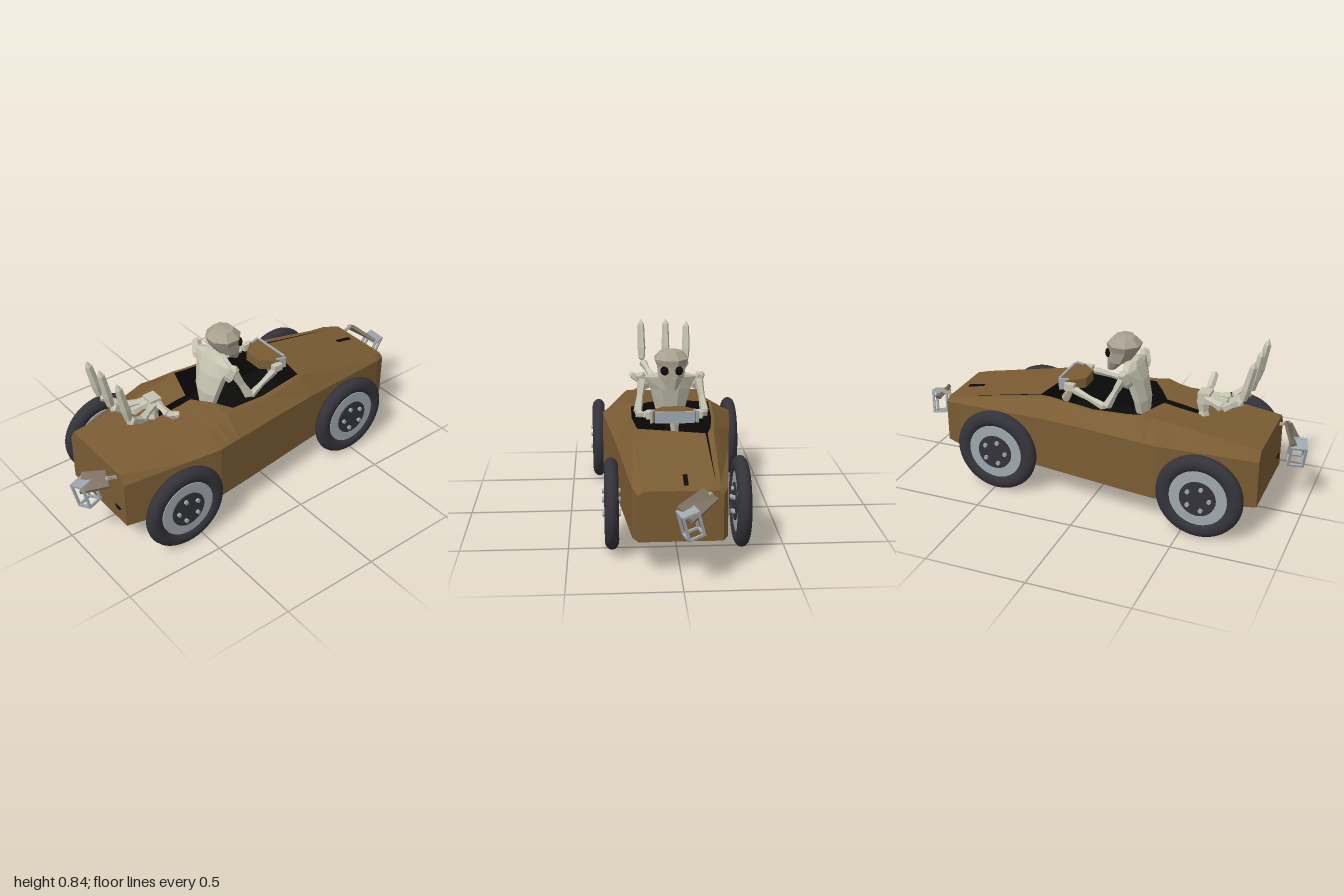
import * as THREE from 'three';

const mat = (name, color, flatShading = true) => {
  const m = new THREE.MeshStandardMaterial({ color, flatShading });
  m.name = name;
  return m;
};
const V = (x, y, z) => new THREE.Vector3(x, y, z);

export function createModel() {
  const wood = mat('coffin wood', 0x7a5c33);
  const dark = mat('dark opening', 0x0c0b0a);
  const bone = mat('bone', 0xc6c5b2);
  const oldBone = mat('aged bone', 0xa8a190);
  const silver = mat('silver metal', 0x9fa8ae);
  const rubber = mat('rubber', 0x33333a, false);
  const taupe = mat('weathered bracket', 0x7c7162);
  const root = new THREE.Group();

  const add = (parent, name, geo, material, x = 0, y = 0, z = 0) => {
    const m = new THREE.Mesh(geo, material);
    m.name = name;
    m.position.set(x, y, z);
    parent.add(m);
    return m;
  };
  const group = (name, parent = root) => {
    const g = new THREE.Group();
    g.name = name;
    parent.add(g);
    return g;
  };
  const fromTris = (pts) => {
    const g = new THREE.BufferGeometry().setFromPoints(pts);
    g.computeVertexNormals();
    return g;
  };
  const box = (w, h, d) => new THREE.BoxGeometry(w, h, d);

  // Coffin body: z, half width, bottom y, shoulder y, half deck, deck y, opening left, opening right
  const sections = [
    [0.83, 0.23, 0.135, 0.375, 0.2, 0.42, -0.015, -0.015],
    [0.52, 0.3, 0.138, 0.405, 0.2, 0.463, -0.015, -0.015],
    [0.5, 0.304, 0.138, 0.406, 0.2, 0.466, -0.035, 0.0],
    [0.36, 0.335, 0.14, 0.42, 0.2, 0.486, -0.035, 0.01],
    [0.3, 0.328, 0.14, 0.42, 0.205, 0.495, -0.03, 0.01],
    [0.24, 0.322, 0.141, 0.42, 0.225, 0.503, -0.21, 0.1],
    [0.18, 0.316, 0.142, 0.42, 0.225, 0.495, -0.21, 0.19],
    [0, 0.295, 0.145, 0.42, 0.22, 0.485, -0.205, 0.19],
    [-0.24, 0.267, 0.148, 0.415, 0.195, 0.5, -0.18, 0.17],
    [-0.3, 0.26, 0.149, 0.412, 0.19, 0.49, -0.16, -0.15],
    [-0.76, 0.21, 0.155, 0.385, 0.175, 0.4, -0.155, -0.155],
    [-0.82, 0.185, 0.157, 0.37, 0.16, 0.388, -0.155, -0.155],
  ];
  const floorY = 0.32;
  const loops = sections.map(([z, w, b, s, d, t, l, r]) => [
    [-w, b], [-w, s], [-d, t], [l, t], [l, floorY], [r, floorY], [r, t], [d, t], [w, s], [w, b],
  ].map(([x, y]) => V(x, y, z)));
  const shell = [], pit = [];
  for (let i = 0; i < loops.length - 1; i++) {
    const A = loops[i], B = loops[i + 1];
    const open = [sections[i], sections[i + 1]].some((s) => s[7] > s[6]);
    for (let j = 0; j < 10; j++) {
      const inside = j >= 3 && j <= 5, k = (j + 1) % 10;
      if (inside && !open) continue;
      (inside ? pit : shell).push(A[j], A[k], B[k], A[j], B[k], B[j]);
    }
  }
  const endCap = (loop, flip) => {
    const p = [0, 1, 2, 7, 8, 9].map((i) => loop[i]);
    for (let i = 1; i < 5; i++) shell.push(p[0], p[flip ? i + 1 : i], p[flip ? i : i + 1]);
  };
  endCap(loops[0], true);
  endCap(loops[loops.length - 1], false);
  add(root, 'coffinBody', fromTris(shell), wood);
  add(root, 'cockpitInterior', fromTris(pit), dark);

  // Small dark slots
  add(root, 'rearSlotUpper', box(0.045, 0.007, 0.006), dark, 0.167, 0.211, 0.831);
  add(root, 'rearSlotLower', box(0.028, 0.006, 0.006), dark, 0.165, 0.202, 0.831);
  add(root, 'hoodSlot', box(0.02, 0.008, 0.09), dark, -0.025, 0.406, -0.73).rotation.x = -0.19;
  add(root, 'undersideSlot', box(0.03, 0.006, 0.07), dark, -0.02, 0.154, -0.73);

  // Wheels, with the axle along x
  const wheel = (side, x, z) => {
    const g = group('wheel');
    g.position.set(side * x, 0.215, z);
    const tire = new THREE.TorusGeometry(0.172, 0.04, 14, 48).rotateY(Math.PI / 2).scale(0.83, 1, 1);
    add(g, 'tire', tire, rubber);
    const disc = (name, r, w, m) => add(g, name, new THREE.CylinderGeometry(r, r, w, 32).rotateZ(Math.PI / 2), m);
    disc('rim', 0.14, 0.048, silver);
    disc('hub', 0.088, 0.06, rubber);
    for (let i = 0; i < 5; i++) {
      const a = (i / 5) * Math.PI * 2 + 0.3;
      const bolt = new THREE.CylinderGeometry(0.011, 0.011, 0.084, 6).rotateZ(Math.PI / 2);
      add(g, 'bolt', bolt, silver, 0, Math.cos(a) * 0.058, Math.sin(a) * 0.058);
    }
  };
  for (const side of [-1, 1]) {
    wheel(side, 0.358, 0.588);
    wheel(side, 0.298, -0.482);
  }

  // A five-sided bone between two points; a pointed one ends in a tip
  const makeBone = (parent, name, a, b, r, material = bone, pointed = false) => {
    const d = b.clone().sub(a), len = d.length();
    const profile = pointed
      ? [[0, 0], [r * 0.75, 0.04], [r, 0.3], [r * 0.8, 0.86], [0, 1]]
      : [[0, 0], [r, 0.1], [r * 0.72, 0.5], [r, 0.9], [0, 1]];
    const geo = new THREE.LatheGeometry(profile.map(([x, y]) => new THREE.Vector2(x, y * len)), 5);
    const m = add(parent, name, geo, material, a.x, a.y, a.z);
    m.quaternion.setFromUnitVectors(V(0, 1, 0), d.normalize());
  };
  const chain = (parent, name, pts, r, tip) => {
    for (let i = 0; i < pts.length - 1; i++)
      makeBone(parent, name, V(...pts[i]), V(...pts[i + 1]), r, bone, tip && i === pts.length - 2);
  };

  // Stack of rings: y, centre z, radius x, radius z
  const ringLoft = (rings, n) => {
    const tris = [];
    const at = ([y, cz, rx, rz], j) => {
      const a = ((j + 0.5) / n) * Math.PI * 2;
      return V(Math.cos(a) * rx, y, cz + Math.sin(a) * rz);
    };
    for (let i = 0; i < rings.length - 1; i++)
      for (let j = 0; j < n; j++) {
        const a = at(rings[i], j), b = at(rings[i], j + 1);
        const c = at(rings[i + 1], j + 1), d = at(rings[i + 1], j);
        tris.push(a, d, c, a, c, b);
      }
    return fromTris(tris);
  };

  // Skeleton driver, facing -z
  const driver = group('skeletonDriver');
  driver.position.x = -0.01;
  add(driver, 'skull', ringLoft([
    [0.675, 0.06, 0, 0], [0.68, 0.06, 0.068, 0.06], [0.735, 0.08, 0.076, 0.078],
    [0.77, 0.085, 0.09, 0.088], [0.807, 0.085, 0.055, 0.05], [0.815, 0.085, 0, 0],
  ], 8), oldBone);
  add(driver, 'jaw', ringLoft([
    [0.625, 0.02, 0, 0], [0.626, 0.02, 0.03, 0.022], [0.682, 0.05, 0.06, 0.05], [0.69, 0.05, 0, 0],
  ], 8), oldBone);
  add(driver, 'ribcage', ringLoft([
    [0.42, 0.185, 0, 0], [0.43, 0.185, 0.06, 0.035], [0.5, 0.18, 0.085, 0.042], [0.6, 0.155, 0.11, 0.045],
    [0.665, 0.135, 0.145, 0.035], [0.69, 0.125, 0.06, 0.03], [0.695, 0.12, 0, 0],
  ], 8), bone);
  makeBone(driver, 'neck', V(0, 0.65, 0.13), V(0, 0.71, 0.09), 0.03, oldBone);
  for (const s of [-1, 1]) {
    const eye = new THREE.SphereGeometry(0.023, 8, 6).scale(1, 1, 0.6);
    add(driver, 'eyeSocket', eye, dark, s * 0.036, 0.72, 0.012).rotation.y = s * -0.5;
    makeBone(driver, 'shoulderBlade', V(s * 0.12, 0.6, 0.15), V(s * 0.16, 0.69, 0.13), 0.03, bone, true);
    makeBone(driver, 'upperArm', V(s * 0.14, 0.665, 0.14), V(s * 0.17, 0.485, 0.05), 0.024);
    makeBone(driver, 'forearm', V(s * 0.17, 0.49, 0.06), V(s * 0.125, 0.54, -0.14), 0.02);
    add(driver, 'hand', box(0.03, 0.035, 0.05), bone, s * 0.12, 0.545, -0.155);
  }

  // Coffin-shaped steering wheel
  const wheelShape = new THREE.Shape([[-0.05, 0.1], [0.05, 0.1], [0.11, 0.17], [0.095, 0.22], [-0.095, 0.22], [-0.11, 0.17]]
    .map((p) => new THREE.Vector2(...p)));
  const steering = new THREE.ExtrudeGeometry(wheelShape, { depth: 0.05, bevelEnabled: false }).rotateX(-Math.PI / 2);
  add(root, 'steeringWheel', steering, wood, -0.01, 0.52, 0);
  add(root, 'steeringTrim', box(0.19, 0.056, 0.012), silver, -0.01, 0.547, -0.22);
  for (const s of [-1, 1])
    add(root, 'steeringSideTrim', box(0.012, 0.056, 0.05), silver, -0.01 + s * 0.104, 0.547, -0.194).rotation.y = s * -0.29;
  makeBone(root, 'steeringColumn', V(-0.01, 0.53, -0.17), V(-0.01, 0.4, -0.24), 0.025, oldBone);

  // Skeletal hand breaking through the deck
  const reach = group('reachingHand');
  makeBone(reach, 'wrist', V(-0.02, 0.42, 0.5), V(-0.02, 0.555, 0.49), 0.033);
  add(reach, 'palm', box(0.07, 0.055, 0.06), bone, -0.015, 0.56, 0.5);
  chain(reach, 'outerFinger', [[-0.035, 0.56, 0.5], [-0.085, 0.545, 0.61], [-0.13, 0.62, 0.71], [-0.135, 0.83, 0.76]], 0.023, true);
  chain(reach, 'middleFinger', [[-0.015, 0.56, 0.5], [-0.018, 0.545, 0.62], [-0.018, 0.625, 0.72], [-0.02, 0.845, 0.765]], 0.023, true);
  chain(reach, 'innerFinger', [[0.005, 0.56, 0.5], [0.06, 0.545, 0.61], [0.115, 0.62, 0.71], [0.117, 0.845, 0.76]], 0.023, true);
  chain(reach, 'thumb', [[0.0, 0.56, 0.49], [0.1, 0.54, 0.485], [0.19, 0.6, 0.49]], 0.022, true);

  // Hanging lanterns on bent brackets
  const lantern = (turned) => {
    const g = group('lanternAssembly');
    if (turned) {
      g.rotation.y = Math.PI;
      g.position.set(0.045, -0.01, 0);
    }
    const top = [V(0.02, 0.37, 0.925), V(0.135, 0.427, 0.865), V(0.2, 0.385, 0.885), V(0.085, 0.318, 0.98)];
    const low = top.map((p) => p.clone().add(V(-0.004, -0.016, -0.008)));
    const tris = [top[0], top[2], top[1], top[0], top[3], top[2], low[0], low[1], low[2], low[0], low[2], low[3]];
    for (let i = 0; i < 4; i++) {
      const k = (i + 1) % 4;
      tris.push(top[i], top[k], low[k], top[i], low[k], low[i]);
    }
    add(g, 'bracketPlate', fromTris(tris), taupe);
    makeBone(g, 'bracketArm', V(0.165, 0.38, 0.81), V(0.165, 0.405, 0.885), 0.012, oldBone);
    const cage = group('lanternCage', g);
    cage.position.set(0.077, 0.298, 0.942);
    cage.rotation.set(0.08, 0.3, 0.26);
    const w = 0.035, h = 0.055, t = 0.011;
    for (const a of [-1, 1])
      for (const b of [-1, 1]) {
        add(cage, 'post', box(t, h * 2, t), silver, a * w, 0, b * w);
        add(cage, 'railAcross', box(w * 2 + t, t, t), silver, 0, a * h, b * w);
        add(cage, 'railDeep', box(t, t, w * 2 + t), silver, b * w, a * h, 0);
      }
    add(cage, 'lanternRoof', box(0.07, 0.008, 0.07), silver, 0, h, 0);
  };
  lantern(false);
  lantern(true);
  // Bracket plates are thin and may be seen from either side
  taupe.side = THREE.DoubleSide;
  return root;
}
